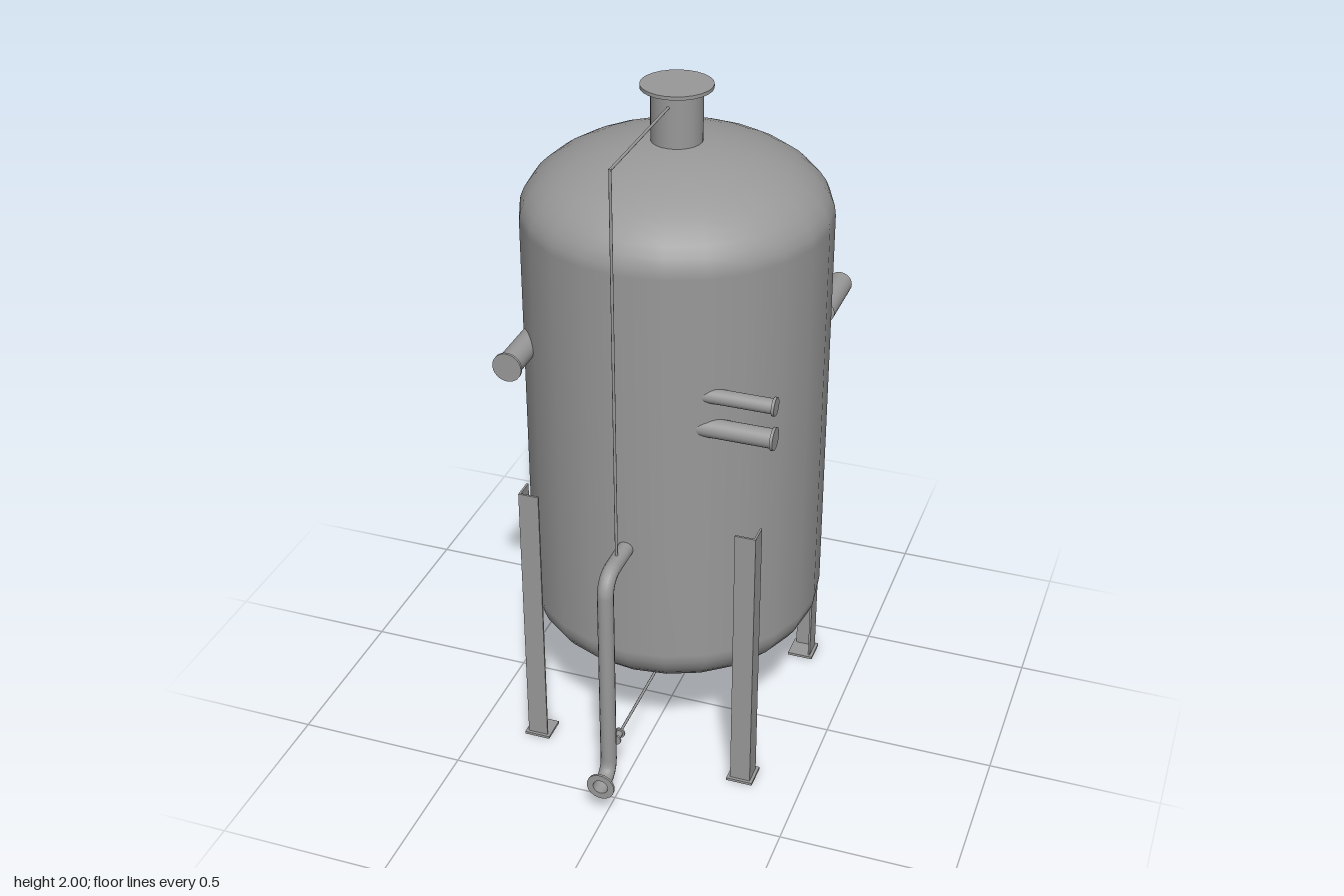
import * as THREE from 'three';

const V = (x, y, z) => new THREE.Vector3(x, y, z);
const CZ = -0.04; // tank axis

export function createModel() {
  const model = new THREE.Group();
  model.name = 'storageTank';
  const steel = new THREE.MeshStandardMaterial({ color: 0x999999, side: THREE.DoubleSide });
  steel.name = 'grey steel';

  const add = (name, geometry, parent = model) => {
    const mesh = new THREE.Mesh(geometry, steel);
    mesh.name = name;
    parent.add(mesh);
    return mesh;
  };
  const group = (name) => {
    const g = new THREE.Group();
    g.name = name;
    model.add(g);
    return g;
  };
  // Round bar between two points
  const rod = (name, a, b, r, parent = model, open = false, sides = 24) => {
    const dir = b.clone().sub(a);
    const mesh = add(name, new THREE.CylinderGeometry(r, r, dir.length(), sides, 1, open), parent);
    mesh.position.copy(a).add(b).multiplyScalar(0.5);
    mesh.quaternion.setFromUnitVectors(V(0, 1, 0), dir.normalize());
    return mesh;
  };

  // Vessel with elliptical heads
  const R = 0.43, H = 0.21, low = 0.45, high = 1.636, n = 12;
  const profile = [];
  for (let i = 0; i <= n; i++) {
    const t = (i / n) * Math.PI / 2;
    profile.push(new THREE.Vector2(R * Math.sin(t), low - H * Math.cos(t)));
  }
  for (let i = 0; i <= n; i++) {
    const t = (i / n) * Math.PI / 2;
    profile.push(new THREE.Vector2(R * Math.cos(t), high + H * Math.sin(t)));
  }
  add('vessel', new THREE.LatheGeometry(profile, 24)).position.z = CZ;

  // Top manway
  const manway = group('topManway');
  rod('manwayNeck', V(0, 1.8, CZ), V(0, 1.995, CZ), 0.071, manway);
  rod('manwayLid', V(0, 1.99, CZ), V(0, 2, CZ), 0.099, manway);

  // Back nozzle with collar
  const back = group('backNozzle');
  rod('backNeck', V(0, 0.715, -0.43), V(0, 0.715, -0.612), 0.061, back);
  rod('backCollar', V(0, 0.715, -0.531), V(0, 0.715, -0.539), 0.086, back);

  // Tangential nozzles
  const side = group('sideNozzles');
  for (const [y, r, x] of [[1.292, 0.021, 0.2], [1.194, 0.027, 0.18]]) {
    rod('sidePipe', V(x, y, 0.317), V(0.395, y, 0.317), r, side);
    rod('sidePipeFlange', V(0.391, y, 0.317), V(0.399, y, 0.317), r + 0.005, side);
  }
  const left = group('frontNozzle');
  rod('frontPipe', V(-0.345, 1.292, 0.14), V(-0.345, 1.292, 0.355), 0.035, left);
  rod('frontPipeFlange', V(-0.345, 1.292, 0.35), V(-0.345, 1.292, 0.358), 0.042, left);
  rod('rearOpenPipe', V(0.367, 1.292, -0.235), V(0.367, 1.292, -0.428), 0.035, model, true);

  // Angle-iron legs, corner pointing outwards
  const w = 0.06, t = 0.006;
  const angle = new THREE.Shape();
  angle.moveTo(0.03, 0.03);
  angle.lineTo(0.03 - w, 0.03);
  angle.lineTo(0.03 - w, 0.03 - t);
  angle.lineTo(0.03 - t, 0.03 - t);
  angle.lineTo(0.03 - t, 0.03 - w);
  angle.lineTo(0.03, 0.03 - w);
  angle.closePath();
  const legGeometry = new THREE.ExtrudeGeometry(angle, { depth: 0.855, bevelEnabled: false });
  legGeometry.rotateX(-Math.PI / 2); // corner now at +x, -z
  for (let i = 0; i < 4; i++) {
    const leg = group('leg');
    add('legAngle', legGeometry, leg).position.y = 0.004;
    add('footPlate', new THREE.BoxGeometry(0.078, 0.008, 0.078), leg).position.y = 0.004;
    const a = i * Math.PI / 2;
    leg.rotation.y = a;
    leg.position.copy(V(0.32, 0, -0.32).applyAxisAngle(V(0, 1, 0), a));
    leg.position.z += CZ;
  }

  // Drop pipe with two bends and an open ring flange
  const drop = group('dropPipe');
  const path = new THREE.CurvePath();
  const y1 = 0.802, y0 = 0.132, z = 0.543, b = 0.055;
  path.add(new THREE.LineCurve3(V(0, y1, 0.36), V(0, y1, z - b)));
  path.add(new THREE.QuadraticBezierCurve3(V(0, y1, z - b), V(0, y1 - 0.005, z - 0.005), V(0, y1 - b, z)));
  path.add(new THREE.LineCurve3(V(0, y1 - b, z), V(0, y0 + b, z)));
  path.add(new THREE.QuadraticBezierCurve3(V(0, y0 + b, z), V(0, y0, z), V(0, y0, z + b)));
  path.add(new THREE.LineCurve3(V(0, y0, z + b), V(0, y0, 0.61)));
  add('dropTube', new THREE.TubeGeometry(path, 90, 0.023, 16, false), drop);
  const ring = new THREE.Shape().absarc(0, 0, 0.041, 0, Math.PI * 2);
  ring.holes.push(new THREE.Path().absarc(0, 0, 0.022, 0, Math.PI * 2, true));
  add('dropFlange', new THREE.ExtrudeGeometry(ring, { depth: 0.007, bevelEnabled: false }), drop)
    .position.set(0, y0, 0.605);

  // Thin vent line from manway to drop pipe
  const vent = group('ventLine');
  rod('ventTop', V(0, 1.957, CZ), V(0, 1.957, 0.459), 0.004, vent, false, 10);
  rod('ventDown', V(0, 1.96, 0.455), V(0, 0.81, 0.455), 0.004, vent, false, 10);

  // Drain line with valve
  const drain = group('drainLine');
  rod('drainDown', V(0, 0.26, -0.036), V(0, 0.202, -0.036), 0.004, drain, false, 10);
  rod('drainRun', V(0, 0.205, -0.04), V(0, 0.205, 0.54), 0.004, drain, false, 10);
  rod('valveBody', V(0, 0.205, 0.45), V(0, 0.205, 0.488), 0.01, drain, false, 12);
  for (const zf of [0.45, 0.482]) {
    rod('valveFlange', V(0, 0.205, zf), V(0, 0.205, zf + 0.006), 0.016, drain, false, 12);
  }
  return model;
}
